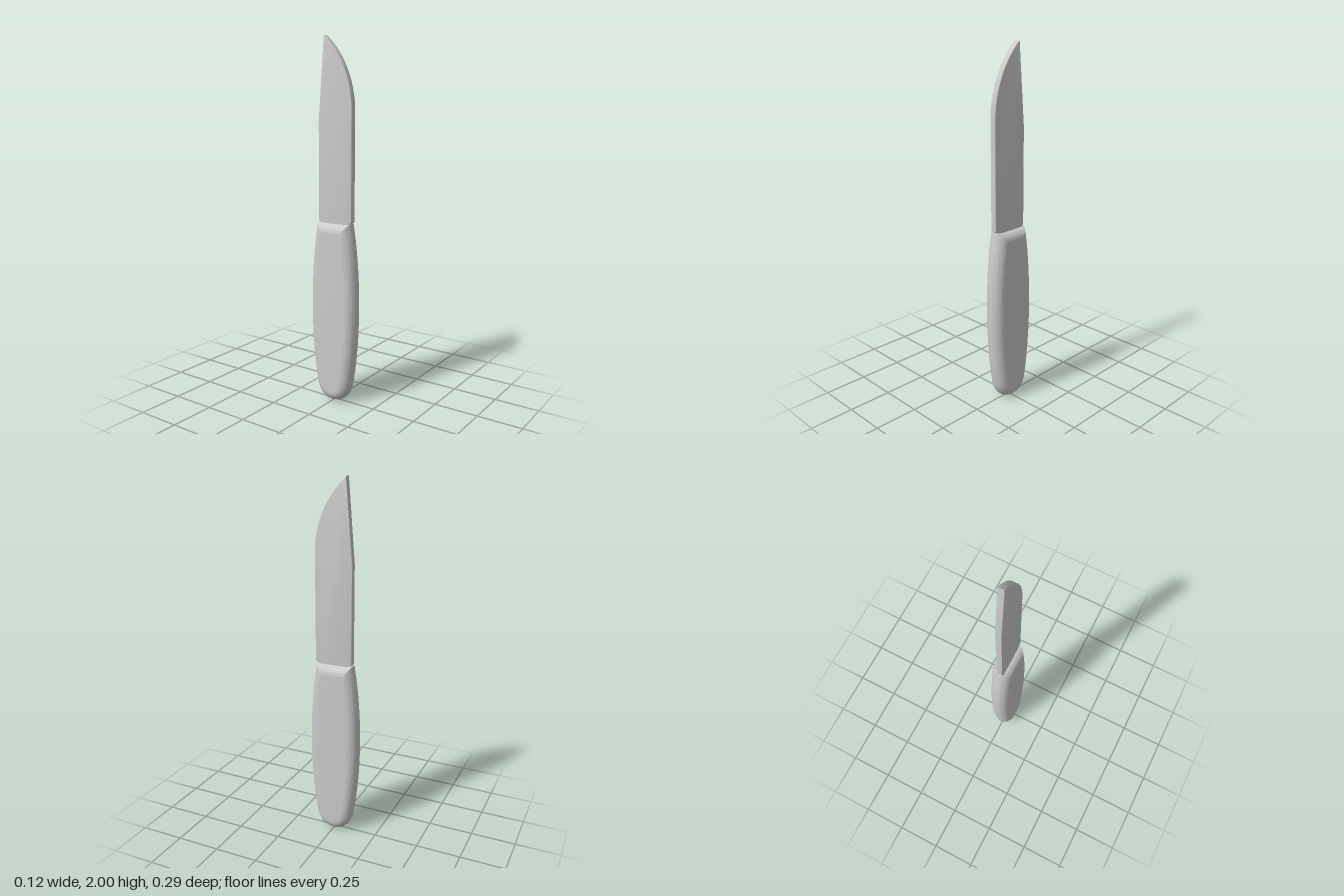
import * as THREE from 'three';
import { toCreasedNormals } from 'three/addons/utils/BufferGeometryUtils.js';

const material = new THREE.MeshStandardMaterial({ color: 0xcccccc });

// Extrudes a side outline (shape x = depth z, shape y = height) to a given
// half thickness along x, with edges rounded inwards by the given radius.
function slab(name, shape, half, radius, segments, curveSegments) {
  const depth = 2 * (half - radius);
  const geometry = new THREE.ExtrudeGeometry(shape, {
    depth,
    bevelEnabled: true,
    bevelThickness: radius,
    bevelSize: radius,
    bevelOffset: -radius,
    bevelSegments: segments,
    curveSegments,
  });
  geometry.translate(0, 0, -depth / 2);
  geometry.rotateY(-Math.PI / 2);
  const mesh = new THREE.Mesh(toCreasedNormals(geometry, 0.6), material);
  mesh.name = name;
  return mesh;
}

// Swelling grip with a rounded butt and a square shoulder at the blade
function handleShape() {
  const s = new THREE.Shape();
  s.moveTo(0, 0.003);
  s.bezierCurveTo(0.05, 0.003, 0.09, 0.03, 0.107, 0.1);
  s.bezierCurveTo(0.156, 0.38, 0.156, 0.73, 0.104, 1.018);
  s.lineTo(0.06, 1.014);
  s.lineTo(-0.06, 1.014);
  s.lineTo(-0.104, 1.018);
  s.bezierCurveTo(-0.156, 0.73, -0.156, 0.38, -0.107, 0.1);
  s.bezierCurveTo(-0.09, 0.03, -0.05, 0.003, 0, 0.003);
  return s;
}

// Straight spine clipped towards the tip, cutting edge curving up to meet it
function bladeShape() {
  const s = new THREE.Shape();
  s.moveTo(-0.08, 0.9);
  s.lineTo(0.08, 0.9);
  s.lineTo(0.09, 1.01);
  s.lineTo(0.112, 1.025);
  s.lineTo(0.112, 1.62);
  s.bezierCurveTo(0.11, 1.76, 0.05, 1.9, -0.064, 2.0);
  s.lineTo(-0.1, 1.56);
  s.lineTo(-0.1, 1.025);
  s.lineTo(-0.088, 1.01);
  return s;
}

export function createModel() {
  const knife = new THREE.Group();
  knife.name = 'knife';
  knife.add(
    slab('handle', handleShape(), 0.058, 0.057, 12, 20),
    slab('blade', bladeShape(), 0.018, 0.004, 3, 24),
  );
  return knife;
}
